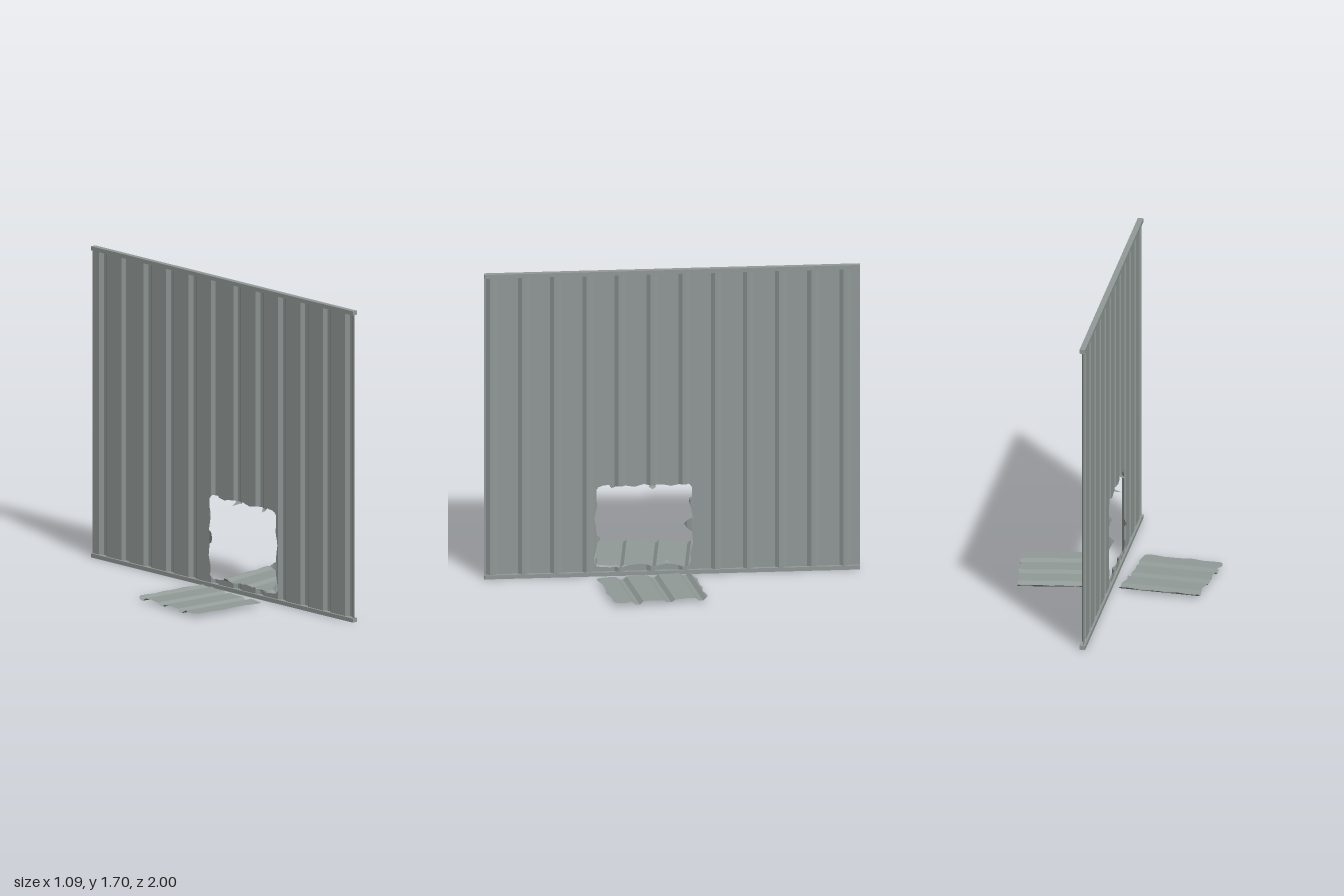
import * as THREE from 'three';

const PITCH = 0.171, FIRST = 0.96, RIBS = 12, RIB_H = 0.016;
const HOLE = { y: 0.274, z: 0.147 };

// Torn outline as [z, y], upper and lower halves, both running from +z to -z
const tornTop = [
  [0.405, 0.274], [0.412, 0.315], [0.408, 0.34], [0.398, 0.385], [0.402, 0.44], [0.402, 0.476], [0.39, 0.492],
  [0.365, 0.501], [0.335, 0.503], [0.315, 0.486], [0.298, 0.497], [0.25, 0.498], [0.2, 0.489], [0.15, 0.503],
  [0.12, 0.498], [0.105, 0.485], [0.085, 0.5], [0.045, 0.498], [0.005, 0.489], [-0.045, 0.499],
  [-0.09, 0.5], [-0.106, 0.48], [-0.106, 0.435], [-0.097, 0.385], [-0.11, 0.315], [-0.104, 0.274],
];
const tornBottom = [
  [0.405, 0.274], [0.4, 0.23], [0.4, 0.16], [0.412, 0.1], [0.412, 0.065], [0.398, 0.049], [0.33, 0.043],
  [0.25, 0.049], [0.17, 0.059], [0.12, 0.052], [0.07, 0.047], [0.03, 0.058], [-0.01, 0.052],
  [-0.05, 0.043], [-0.085, 0.043], [-0.102, 0.065], [-0.098, 0.11], [-0.113, 0.17], [-0.106, 0.23], [-0.104, 0.274],
];

// Height of the trapezoid rib at z
function ribDepth(z) {
  const i = THREE.MathUtils.clamp(Math.round((FIRST - z) / PITCH), 0, RIBS - 1);
  const d = Math.abs(z - (FIRST - i * PITCH));
  return RIB_H * THREE.MathUtils.clamp((0.03 - d) / 0.02, 0, 1);
}

// Fold lines across the sheet
const folds = [-1];
for (let i = RIBS - 1; i >= 0; i--)
  for (const o of [-0.03, -0.01, 0.01, 0.03]) folds.push(FIRST - i * PITCH + o);
folds.push(1);

// Keep the part of a polygon where sign * (z - limit) >= 0
function clip(poly, limit, sign) {
  const out = [];
  poly.forEach((a, i) => {
    const b = poly[(i + 1) % poly.length];
    const da = sign * (a[0] - limit), db = sign * (b[0] - limit);
    if (da >= 0) out.push(a);
    if (da * db < 0) out.push([limit, a[1] + (b[1] - a[1]) * da / (da - db)]);
  });
  return out;
}

// Cut flat outlines at the folds and place each corner in space with a rule
function foldedSheet(polys, place) {
  const pos = [];
  for (const poly of polys) {
    for (let i = 0; i < folds.length - 1; i++) {
      const strip = clip(clip(poly, folds[i], 1), folds[i + 1], -1);
      if (strip.length < 3) continue;
      const pts = strip.map(([z, y]) => new THREE.Vector2(z, y));
      for (const face of THREE.ShapeUtils.triangulateShape(pts, []))
        for (const k of [face[0], face[2], face[1]]) pos.push(...place(pts[k].x, pts[k].y));
    }
  }
  return flatGeometry(pos);
}

function flatGeometry(pos) {
  const geo = new THREE.BufferGeometry();
  geo.setAttribute('position', new THREE.Float32BufferAttribute(pos, 3));
  geo.computeVertexNormals();
  return geo;
}

// Curled tongue of metal: base centre, direction into the hole, bend along x
function tongue(z, y, dz, dy, width, length, bend) {
  const rows = [[0, 1, 0], [0.6, 0.6, 0.35], [1, 0.05, 1]].map(([l, w, b]) =>
    [-1, 1].map((s) => [
      ribDepth(z) + b * bend,
      y + dy * length * l + s * dz * width * w / 2,
      z + dz * length * l - s * dy * width * w / 2,
    ]));
  const pos = [];
  for (let i = 0; i < 2; i++) {
    const [a, b] = rows[i], [c, d] = rows[i + 1];
    pos.push(...a, ...b, ...c, ...b, ...d, ...c);
  }
  return flatGeometry(pos);
}

export function createModel() {
  const model = new THREE.Group();
  const steel = new THREE.MeshStandardMaterial({ color: 0x929a98, side: THREE.DoubleSide });
  steel.name = 'galvanised steel';
  const add = (name, geo, parent = model) => {
    const mesh = new THREE.Mesh(geo, steel);
    mesh.name = name;
    parent.add(mesh);
    return mesh;
  };

  // Corrugated wall around the torn hole
  const upper = [[1, 1.69], [1, HOLE.y], ...tornTop, [-1, HOLE.y], [-1, 1.69]];
  const lower = [[1, 0.01], [1, HOLE.y], ...tornBottom, [-1, HOLE.y], [-1, 0.01]];
  add('corrugatedWall', foldedSheet([upper, lower], (z, y) => [ribDepth(z), y, z]));

  // Rails along the top and bottom edges
  for (const [name, y] of [['topRail', 1.689], ['bottomRail', 0.011]])
    add(name, new THREE.BoxGeometry(0.03, 0.022, 2)).position.set(0.004, y, 0);

  // Bent scraps around the hole
  const scraps = new THREE.Group();
  scraps.name = 'tornScraps';
  model.add(scraps);
  [
    [0.105, 0.498, 0, -1, 0.045, 0.015, -0.05],
    [0.105, 0.498, 0, -1, 0.045, 0.015, 0.015],
    [0.315, 0.498, 0, -1, 0.035, 0.016, -0.02],
    [0.025, 0.052, 0, 1, 0.04, 0.02, -0.025],
    [0.3, 0.045, 0, 1, 0.05, 0.01, -0.02],
    [-0.106, 0.27, 1, 0, 0.075, 0.04, -0.022],
    [-0.1, 0.4, 1, 0, 0.06, 0.008, -0.015],
    [0.406, 0.2, -1, 0, 0.05, 0.028, -0.02],
    [0.406, 0.08, -1, 0, 0.05, 0.01, -0.02],
  ].forEach((s) => add('scrap', tongue(...s), scraps));

  // Cut-out pieces lying on the ground on both sides, ribs downward
  const outline = [...tornTop, ...tornBottom.slice(1, -1).reverse()];
  const yaw = THREE.MathUtils.degToRad(7), c = Math.cos(yaw), s = Math.sin(yaw);
  for (const [name, side] of [['leftFallenPanel', 1], ['rightFallenPanel', -1]])
    add(name, foldedSheet([outline], (z, y) => {
      const u = (y - HOLE.y) * 0.97, w = z - HOLE.z;
      return [side * (0.299 + u * c + w * s), 0.022 - ribDepth(z), 0.124 - u * s + w * c];
    }));

  return model;
}
